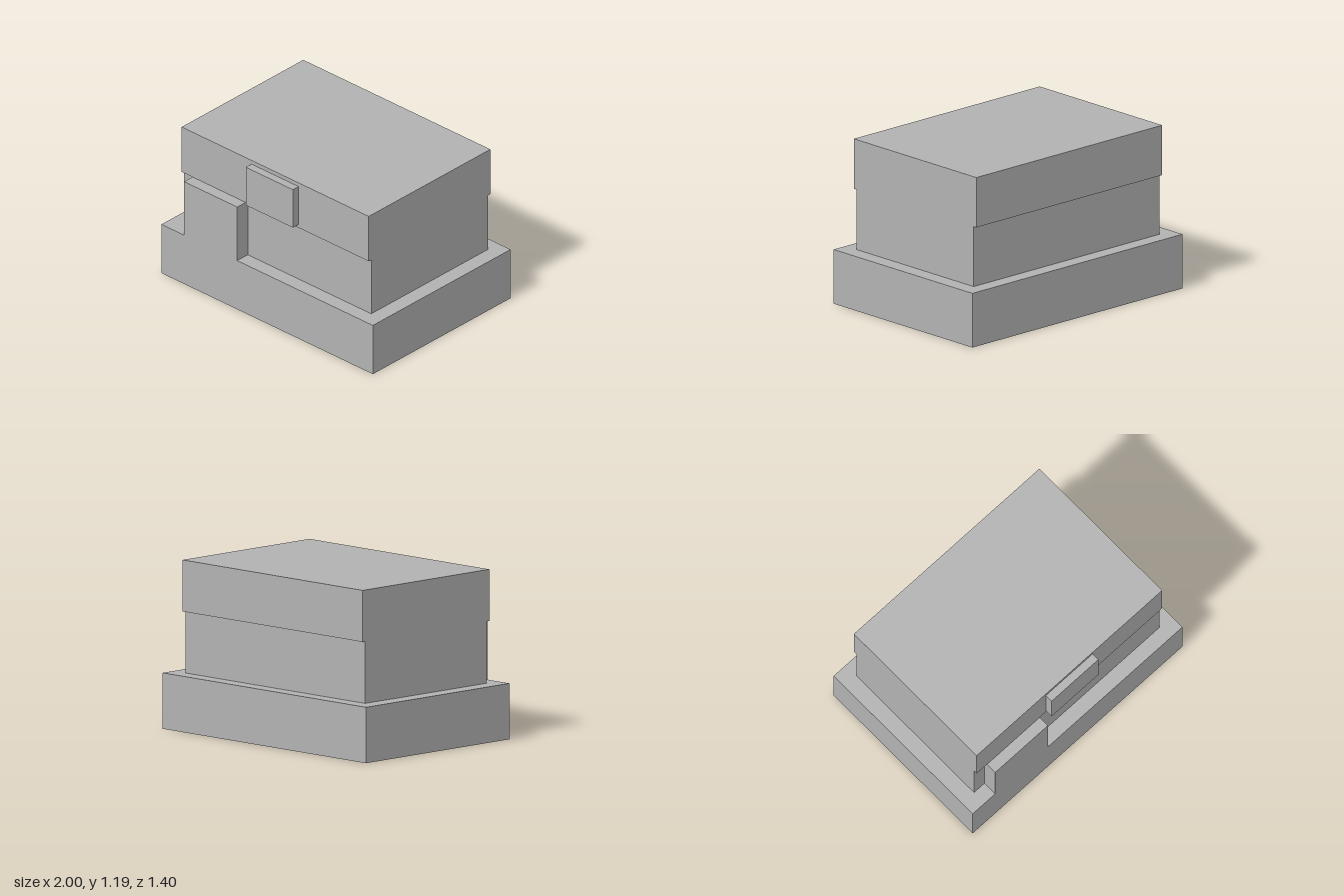
import * as THREE from 'three';

export function createModel() {
  const group = new THREE.Group();
  const grey = new THREE.MeshStandardMaterial({ color: 0xb2b2b2 });
  grey.name = 'plain grey';

  // Box given by its minimum and maximum corners
  const block = (name, [x0, y0, z0], [x1, y1, z1]) => {
    const mesh = new THREE.Mesh(new THREE.BoxGeometry(x1 - x0, y1 - y0, z1 - z0), grey);
    mesh.position.set((x0 + x1) / 2, (y0 + y1) / 2, (z0 + z1) / 2);
    mesh.name = name;
    group.add(mesh);
  };

  // Wide plinth and the two storeys, the upper overhanging front and back
  block('base', [-1, 0, -0.7], [1, 0.393, 0.7]);
  block('lowerStorey', [-0.885, 0.393, -0.592], [0.885, 0.828, 0.592]);
  block('upperStorey', [-0.885, 0.828, -0.618], [0.885, 1.19, 0.618]);

  // Front details: porch flush with the plinth, and the raised panel
  block('porch', [-0.785, 0.393, 0.592], [-0.283, 0.825, 0.7]);
  block('frontPanel', [-0.224, 0.854, 0.618], [0.221, 1.16, 0.676]);

  return group;
}
